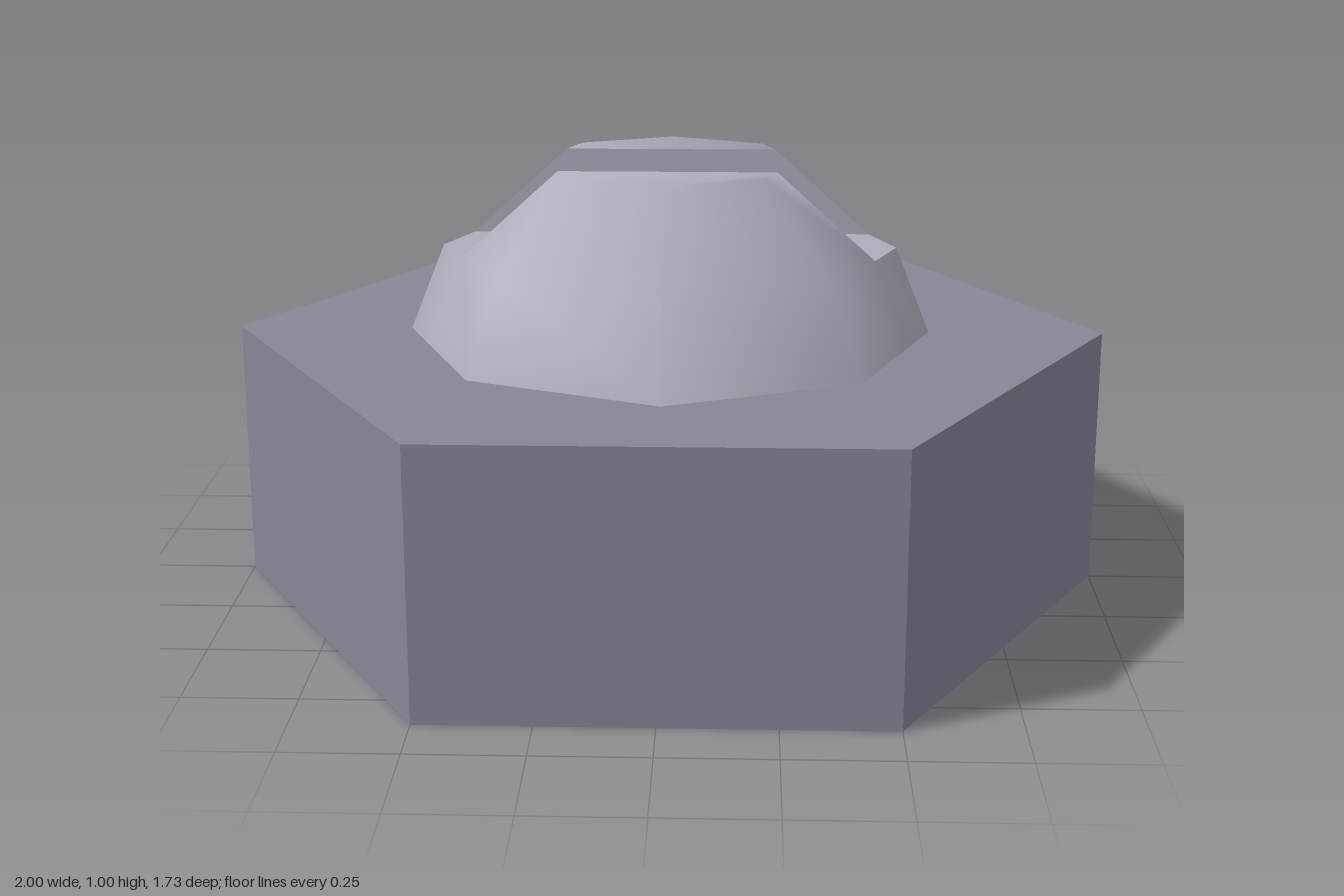
import * as THREE from 'three';

const SLOT = 0.135; // half width of the slot
const RINGS = [[0.6, 0.6], [0.52, 0.8], [0.3, 1.0]]; // dome [radius, height]

// where the slot side crosses an octagon of radius r
const slotX = (r) => r - SLOT * Math.tan(Math.PI / 8);

// octagon outline with four extra points on the slot sides
function ring(r, y) {
  const at = (k) => [r * Math.cos(k * Math.PI / 4), y, r * Math.sin(k * Math.PI / 4)];
  const x = slotX(r);
  return [
    at(0), [x, y, SLOT], at(1), at(2), at(3), [-x, y, SLOT],
    at(4), [-x, y, -SLOT], at(5), at(6), at(7), [x, y, -SLOT],
  ];
}

function domeGeometry() {
  const points = RINGS.flatMap(([r, y]) => ring(r, y));
  const index = [];
  const quad = (level, i) => {
    const a = level * 12 + i, b = level * 12 + (i + 1) % 12;
    index.push(a, a + 12, b + 12, a, b + 12, b);
  };
  // closed lower band
  for (let i = 0; i < 12; i++) quad(0, i);
  // two upper halves with flat tops, either side of the slot
  for (const s of [1, 7]) {
    for (let i = s; i < s + 4; i++) quad(1, i);
    for (let i = s + 1; i < s + 4; i++) index.push(24 + s, 24 + i + 1, 24 + i);
  }
  const g = new THREE.BufferGeometry();
  g.setAttribute('position', new THREE.Float32BufferAttribute(points.flat(), 3));
  g.setIndex(index);
  g.computeVertexNormals();
  return g;
}

const polygon = (pts) =>
  new THREE.ShapeGeometry(new THREE.Shape(pts.map(([x, y]) => new THREE.Vector2(x, y))));

export function createModel() {
  const group = new THREE.Group();
  const darkMetal = new THREE.MeshStandardMaterial({ color: 0x8a8496 });
  darkMetal.name = 'darkMetal';
  const lightMetal = new THREE.MeshStandardMaterial({ color: 0xb0acbb });
  lightMetal.name = 'lightMetal';

  const add = (name, geometry, material) => {
    const mesh = new THREE.Mesh(geometry, material);
    mesh.name = name;
    group.add(mesh);
    return mesh;
  };

  // hexagonal base with hard edges
  const hex = new THREE.CylinderGeometry(1, 1, 0.6, 6).toNonIndexed();
  hex.rotateY(Math.PI / 6).translate(0, 0.3, 0);
  hex.computeVertexNormals();
  add('hexBase', hex, darkMetal);

  // smooth eight-sided dome
  add('dome', domeGeometry(), lightMetal);

  // slot floor
  const [, [rMid, yMid], [rTop, yTop]] = RINGS;
  const xm = slotX(rMid), xt = slotX(rTop);
  const floor = polygon([[rMid, 0], [xm, SLOT], [-xm, SLOT], [-rMid, 0], [-xm, -SLOT], [xm, -SLOT]]);
  floor.rotateX(-Math.PI / 2).translate(0, yMid, 0);
  add('slotFloor', floor, lightMetal);

  // slot walls, facing each other
  const wall = polygon([[-xm, yMid], [xm, yMid], [xt, yTop], [-xt, yTop]]).translate(0, 0, -SLOT);
  add('slotWallBack', wall, lightMetal);
  add('slotWallFront', wall, lightMetal).rotation.y = Math.PI;

  return group;
}
